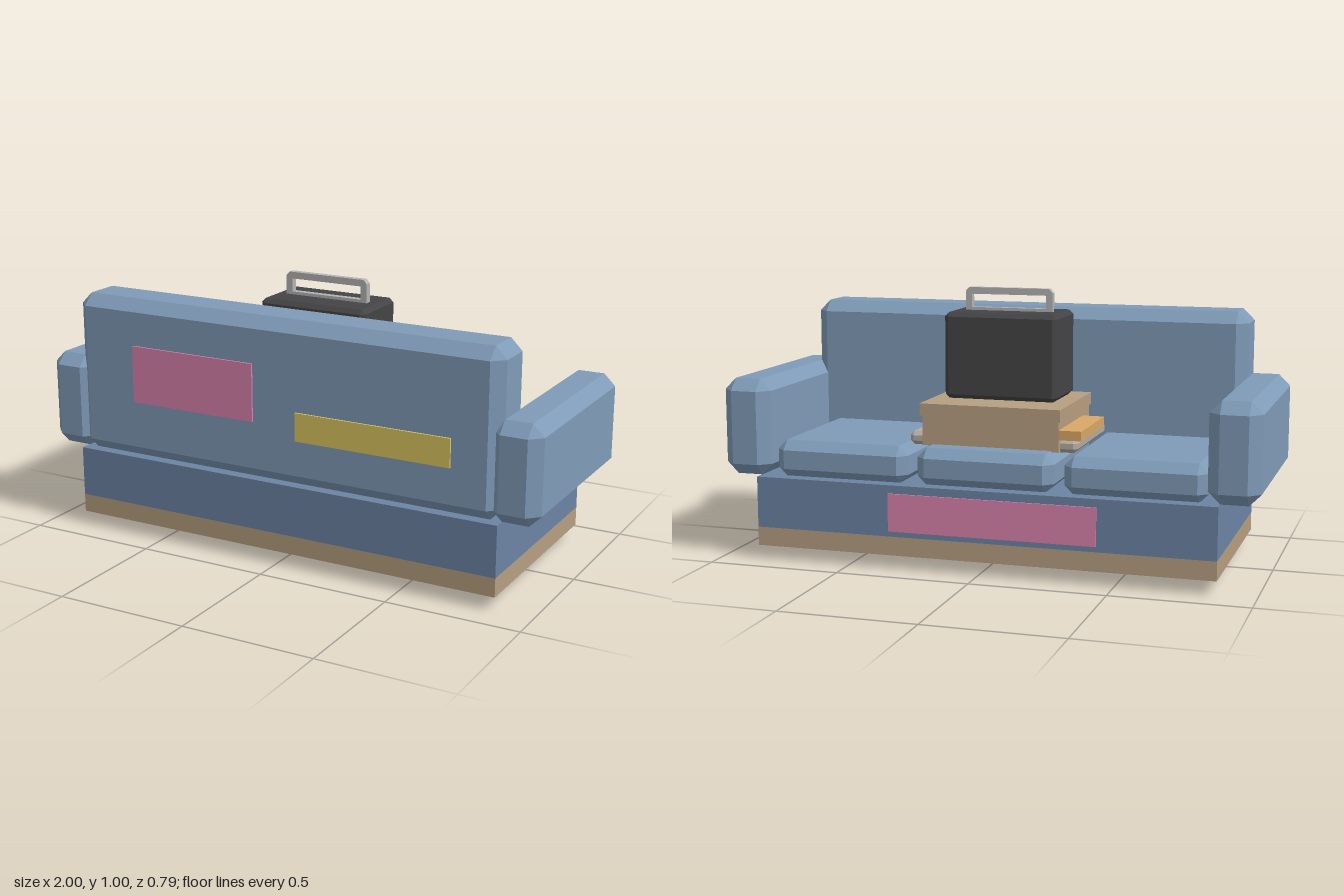
import * as THREE from 'three';
import { ConvexGeometry } from 'three/addons/geometries/ConvexGeometry.js';

const mat = (color) => new THREE.MeshStandardMaterial({ color, flatShading: true });
const fabric = mat(0x7f9bb8), baseFabric = mat(0x6c84a4), tan = mat(0xb79f80), orange = mat(0xd9a866);
const dark = mat(0x444446), black = mat(0x2c2c2e), metal = mat(0xb4b4b4), pale = mat(0xd6d6c4);
const pink = mat(0xdb83ac), yellow = mat(0xdcc860), red = mat(0x7a3a30), greyBoard = mat(0xb3aca2);

// Box with every edge cut flat by c: three points near each corner
function chamferBox(w, h, d, c) {
  const pts = [];
  for (const sx of [-1, 1]) for (const sy of [-1, 1]) for (const sz of [-1, 1]) {
    const X = sx * w / 2, Y = sy * h / 2, Z = sz * d / 2;
    pts.push(
      new THREE.Vector3(X, Y - sy * c, Z - sz * c),
      new THREE.Vector3(X - sx * c, Y, Z - sz * c),
      new THREE.Vector3(X - sx * c, Y - sy * c, Z));
  }
  return new ConvexGeometry(pts);
}

export function createModel() {
  const root = new THREE.Group();
  root.name = 'sofaWithCase';

  const add = (name, geo, material, x = 0, y = 0, z = 0) => {
    const m = new THREE.Mesh(geo, material);
    m.name = name;
    m.position.set(x, y, z);
    root.add(m);
    return m;
  };
  // Block given by its limits on each axis, with an optional chamfer
  const block = (name, material, [x0, x1], [y0, y1], [z0, z1], c = 0) => {
    const s = [x1 - x0, y1 - y0, z1 - z0];
    const geo = c ? chamferBox(...s, c) : new THREE.BoxGeometry(...s);
    return add(name, geo, material, (x0 + x1) / 2, (y0 + y1) / 2, (z0 + z1) / 2);
  };

  // Sofa body
  block('plinth', tan, [-0.86, 0.86], [0.05, 0.12], [-0.39, 0.39]);
  block('base', baseFabric, [-0.86, 0.86], [0.12, 0.31], [-0.39, 0.39]);
  block('backrest', fabric, [-0.86, 0.86], [0.31, 0.915], [0.175, 0.39], 0.043);
  block('leftArm', fabric, [0.815, 1], [0.31, 0.67], [-0.39, 0.39], 0.043);
  block('rightArm', fabric, [-1, -0.815], [0.31, 0.67], [-0.39, 0.39], 0.043);
  for (const x of [-0.56, -0.01, 0.54])
    block('seatCushion', fabric, [x - 0.257, x + 0.257], [0.305, 0.445], [-0.365, 0.2], 0.035);

  // Patches on the outside
  block('pinkPatch', pink, [-0.605, -0.09], [0.53, 0.745], [0.385, 0.397]);
  block('yellowPatch', yellow, [0.085, 0.685], [0.485, 0.59], [0.385, 0.397]);
  block('basePatch', pink, [-0.435, 0.34], [0.14, 0.28], [-0.396, -0.385]);

  // Stack of boards and a box on the seat
  block('boxBody', tan, [-0.262, 0.252], [0.44, 0.55], [-0.262, 0.18]);
  block('boxLid', tan, [-0.27, 0.26], [0.55, 0.595], [-0.27, 0.185]);
  block('greyBoard', greyBoard, [-0.325, 0.312], [0.435, 0.485], [-0.24, 0.185], 0.015);
  block('orangeBoard', orange, [-0.345, 0.2], [0.485, 0.52], [-0.26, 0.08]);

  // Case with latch plate
  block('case', dark, [-0.215, 0.215], [0.595, 0.915], [-0.127, 0.127], 0.016);
  block('latchPlate', dark, [-0.095, 0.095], [0.65, 0.87], [0.12, 0.14]);
  block('latchSlot', black, [-0.08, 0.08], [0.762, 0.774], [0.135, 0.144]);

  // Carrying handle: a frame with an opening
  const frame = new THREE.Shape([
    [-0.168, 0.91], [0.168, 0.91], [0.168, 0.985], [0.155, 1], [-0.155, 1], [-0.168, 0.985],
  ].map(([x, y]) => new THREE.Vector2(x, y)));
  frame.holes.push(new THREE.Path([
    [-0.143, 0.926], [-0.143, 0.975], [0.143, 0.975], [0.143, 0.926],
  ].map(([x, y]) => new THREE.Vector2(x, y))));
  add('handle', new THREE.ExtrudeGeometry(frame, { depth: 0.025, bevelEnabled: false }), metal, 0, 0, -0.0125);

  // Underside: plate, two axles with wheels, small stud
  block('underPlate', red, [-0.3, 0.3], [0.047, 0.055], [-0.17, 0.18]);
  for (const x of [-0.19, 0.19]) {
    const axle = add('axle', new THREE.CylinderGeometry(0.009, 0.009, 0.2, 10), metal, x, 0.025, 0);
    axle.rotation.x = Math.PI / 2;
    block('axleBracket', metal, [x - 0.008, x + 0.008], [0.025, 0.05], [-0.03, 0.03]);
    for (const z of [-0.0875, 0.0875]) {
      const wheel = add('wheel', new THREE.CylinderGeometry(0.025, 0.025, 0.025, 12), pale, x, 0.025, z);
      wheel.rotation.x = Math.PI / 2;
    }
  }
  add('stud', new THREE.CylinderGeometry(0.007, 0.007, 0.008, 8), black, 0.385, 0.049, -0.34);

  return root;
}
